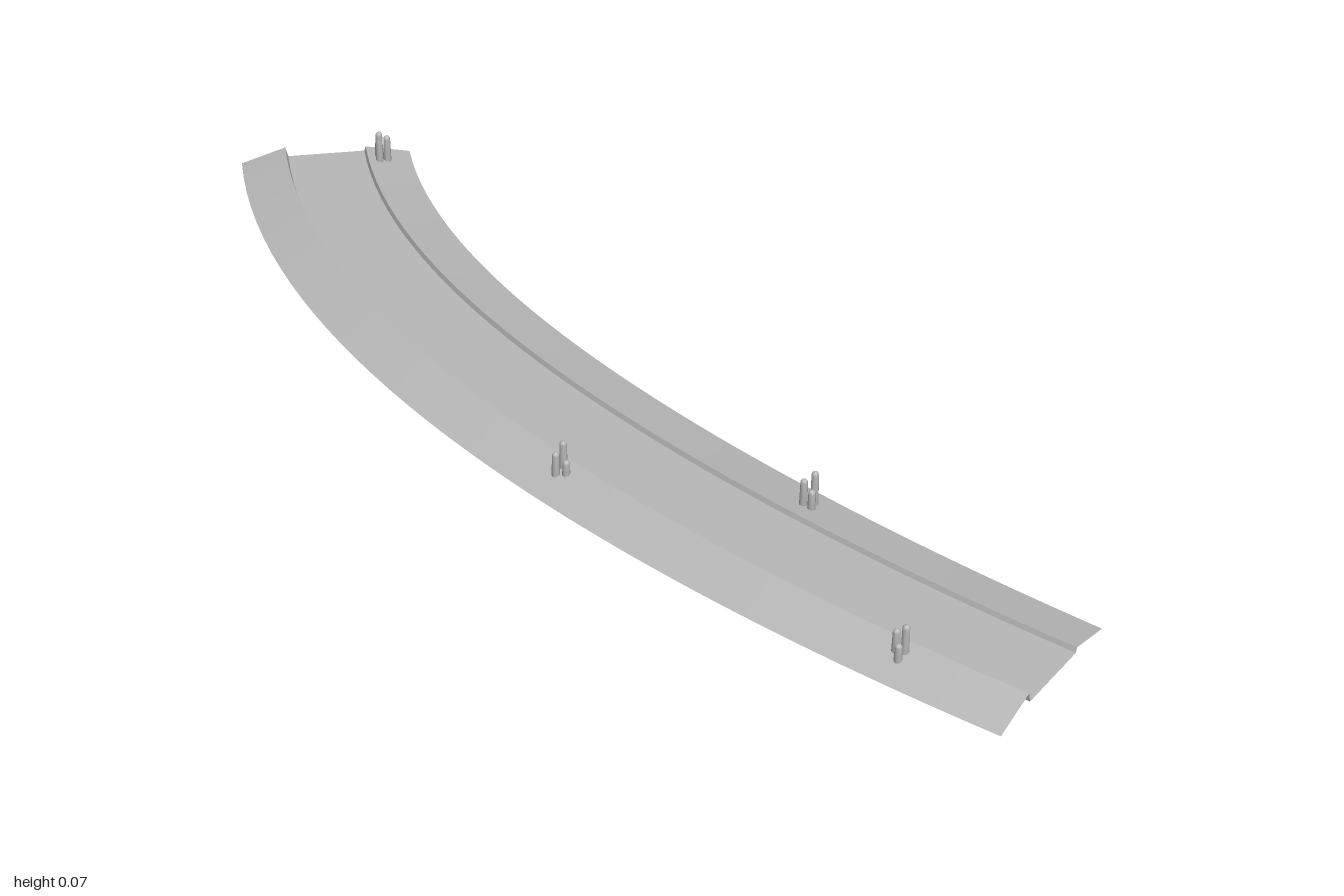
import * as THREE from 'three';

const grey = new THREE.MeshStandardMaterial({ color: 0xb8b8b8, side: THREE.DoubleSide });
grey.name = 'lightGrey';

// Centre line of the curved channel, drawn in plan as (x, z)
const path = new THREE.CubicBezierCurve(
  new THREE.Vector2(0.105, -0.92),
  new THREE.Vector2(-0.193, -0.434),
  new THREE.Vector2(-0.074, 0.377),
  new THREE.Vector2(0.085, 0.955)
);

// Sweeps one straight piece of the cross-section along the path.
// a and b are [offset as a fraction of the half width, height].
function strip(name, a, b, steps = 40) {
  const positions = [];
  const index = [];
  for (let i = 0; i <= steps; i++) {
    const t = i / steps;
    const p = path.getPoint(t);
    const d = path.getTangent(t);
    const half = 0.152 + 0.0105 * Math.sin(Math.PI * t);
    for (const [offset, y] of [a, b]) {
      positions.push(p.x + d.y * half * offset, y, p.y - d.x * half * offset);
    }
    if (i < steps) {
      const k = i * 2;
      index.push(k, k + 2, k + 1, k + 1, k + 2, k + 3);
    }
  }
  const geometry = new THREE.BufferGeometry();
  geometry.setAttribute('position', new THREE.Float32BufferAttribute(positions, 3));
  geometry.setIndex(index);
  geometry.computeVertexNormals();
  const mesh = new THREE.Mesh(geometry, grey);
  mesh.name = name;
  return mesh;
}

// Round-topped, slightly tapered post standing on the ground
function post(height) {
  const profile = [new THREE.Vector2(0, 0.002), new THREE.Vector2(0.0072, 0.002)];
  const r = 0.006;
  for (let i = 0; i <= 4; i++) {
    const angle = (i / 4) * Math.PI / 2;
    profile.push(new THREE.Vector2(r * Math.cos(angle), height - r + r * Math.sin(angle)));
  }
  return new THREE.LatheGeometry(profile, 12);
}

export function createModel() {
  const model = new THREE.Group();
  model.name = 'curvedChannel';

  // Cross-section: outer bank, its wall, the bed, the lower inner wall and bank
  const section = [[-1, 0], [-0.477, 0.027], [-0.445, 0.008], [0.46, 0.008], [0.477, 0.017], [1, 0]];
  const names = ['outerBank', 'outerWall', 'channelBed', 'innerWall', 'innerBank'];
  names.forEach((name, i) => model.add(strip(name, section[i], section[i + 1])));

  // Clusters of three posts on the banks: tall, medium, short as [x, z]
  const heights = [0.072, 0.06, 0.046];
  const clusters = [
    [[-0.163, 0.097], [-0.181, 0.1], [-0.17, 0.113]],
    [[-0.055, 0.781], [-0.062, 0.768], [-0.072, 0.784]],
    [[0.094, 0.412], [0.078, 0.404], [0.081, 0.42]],
    [[0.163, -0.834], [0.178, -0.831], [0.17, -0.846]],
  ];
  const geometries = heights.map(post);
  for (const cluster of clusters) {
    const group = new THREE.Group();
    group.name = 'postCluster';
    cluster.forEach(([x, z], i) => {
      const mesh = new THREE.Mesh(geometries[i], grey);
      mesh.name = 'post';
      mesh.position.set(x, 0, z);
      group.add(mesh);
    });
    model.add(group);
  }
  return model;
}
